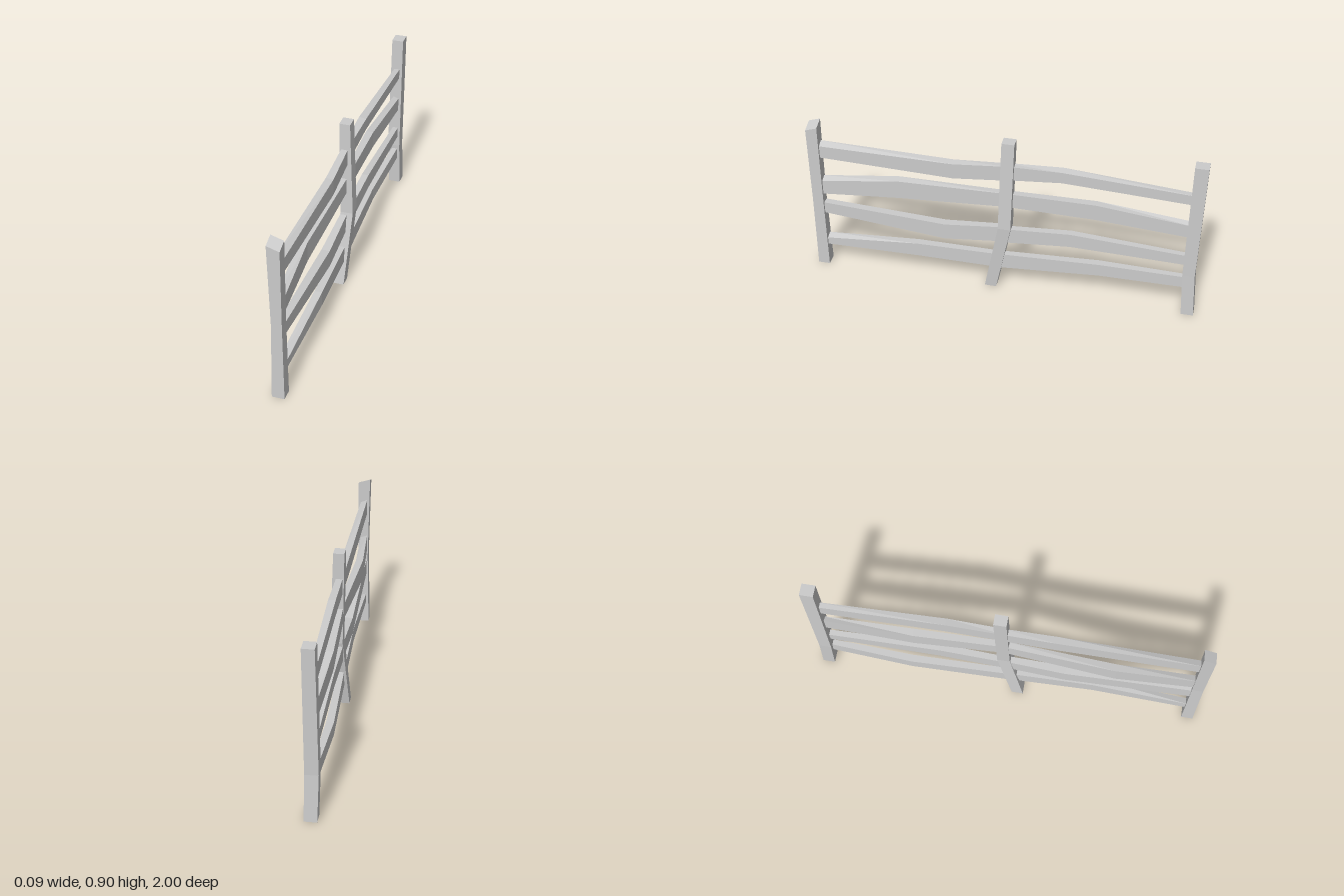
import * as THREE from 'three';

const material = new THREE.MeshStandardMaterial({ color: 0xcccccc, flatShading: true });

// Joins four-cornered cross-sections into a closed beam; each section lists its corners
// counter-clockwise as seen from the end of the beam.
function beam(name, sections) {
  const pos = [];
  const quad = (a, b, c, d) => [a, b, c, a, c, d].forEach((p) => pos.push(...p));
  for (let s = 0; s < sections.length - 1; s++) {
    const lo = sections[s], hi = sections[s + 1];
    for (let i = 0; i < 4; i++) {
      const j = (i + 1) % 4;
      quad(lo[i], lo[j], hi[j], hi[i]);
    }
  }
  const [a, b, c, d] = sections[0];
  quad(d, c, b, a);
  quad(...sections[sections.length - 1]);
  const geometry = new THREE.BufferGeometry();
  geometry.setAttribute('position', new THREE.Float32BufferAttribute(pos, 3));
  geometry.computeVertexNormals();
  const mesh = new THREE.Mesh(geometry, material);
  mesh.name = name;
  return mesh;
}

// Post levels: [y, x min, x max, z min, z max, slope along x, slope along z]
function post(name, levels) {
  return beam(name, levels.map(([y, x0, x1, z0, z1, sx = 0, sz = 0]) => [
    [x0, y + sx + sz, z0], [x0, y + sx - sz, z1], [x1, y - sx - sz, z1], [x1, y - sx + sz, z0],
  ]));
}

// Rail stations from back to front: [z, y min, y max, x min, x max, top twist, bottom twist]
// A positive twist raises the -x edge.
function rail(name, stations) {
  return beam(name, stations.map(([z, y0, y1, x0, x1, top = 0, bottom = 0]) => [
    [x0, y0 + bottom, z], [x1, y0, z], [x1, y1, z], [x0, y1 + top, z],
  ]));
}

export function createModel() {
  const fence = new THREE.Group();
  fence.name = 'fence';

  // Upright posts
  fence.add(
    post('frontPost', [
      [0, -0.035, 0.028, 0.94, 1],
      [0.42, -0.026, 0.026, 0.942, 0.998],
      [0.86, -0.035, 0.028, 0.94, 1, 0.01, 0.01],
    ]),
    post('middlePost', [
      [0, -0.045, 0.02, 0.03, 0.09],
      [0.4, -0.02, 0.045, -0.05, 0.015],
      [0.905, -0.03, 0.025, -0.064, 0],
    ]),
    post('backPost', [
      [0, -0.035, 0.028, -1, -0.937],
      [0.25, -0.042, 0.024, -0.987, -0.925],
      [0.905, -0.032, 0.028, -1, -0.932],
    ]),
  );

  // Rails between the middle and front posts, lowest first
  const frontRails = [
    [[0, 0.125, 0.21, -0.02, 0.012], [0.45, 0.14, 0.217, -0.012, 0.027], [0.96, 0.123, 0.163, -0.02, 0.015, 0.012]],
    [[-0.02, 0.3, 0.39, -0.02, 0.012], [0.3, 0.27, 0.36, -0.025, 0.018], [0.96, 0.333, 0.396, -0.02, 0.015, 0, -0.025]],
    [[-0.02, 0.52, 0.6, -0.02, 0.012], [0.55, 0.47, 0.573, -0.047, -0.008, 0.006], [0.96, 0.45, 0.528, -0.02, 0.015, 0.014]],
    [[-0.03, 0.682, 0.765, -0.02, 0.012], [0.25, 0.66, 0.745, -0.016, 0.022, 0.004], [0.96, 0.677, 0.745, -0.02, 0.015, 0.015]],
  ];
  // Rails between the back and middle posts, lowest first
  const backRails = [
    [[-0.96, 0.165, 0.229, -0.016, 0.012, 0, -0.01], [-0.5, 0.15, 0.22, -0.04, -0.002], [0.04, 0.123, 0.21, -0.02, 0.012]],
    [[-0.96, 0.308, 0.364, -0.016, 0.012], [-0.35, 0.325, 0.402, -0.02, 0.016], [0.02, 0.29, 0.375, -0.02, 0.012]],
    [[-0.96, 0.48, 0.55, -0.016, 0.012, 0.01, -0.01], [-0.47, 0.507, 0.595, -0.035, 0.004, 0, -0.01], [0, 0.52, 0.6, -0.02, 0.012]],
    [[-0.96, 0.678, 0.732, -0.016, 0.012, 0, -0.02], [-0.3, 0.712, 0.773, -0.022, 0.016, 0.006, -0.014], [0, 0.682, 0.765, -0.02, 0.012]],
  ];
  frontRails.forEach((r, i) => fence.add(rail(`frontRail${i + 1}`, r)));
  backRails.forEach((r, i) => fence.add(rail(`backRail${i + 1}`, r)));
  return fence;
}
